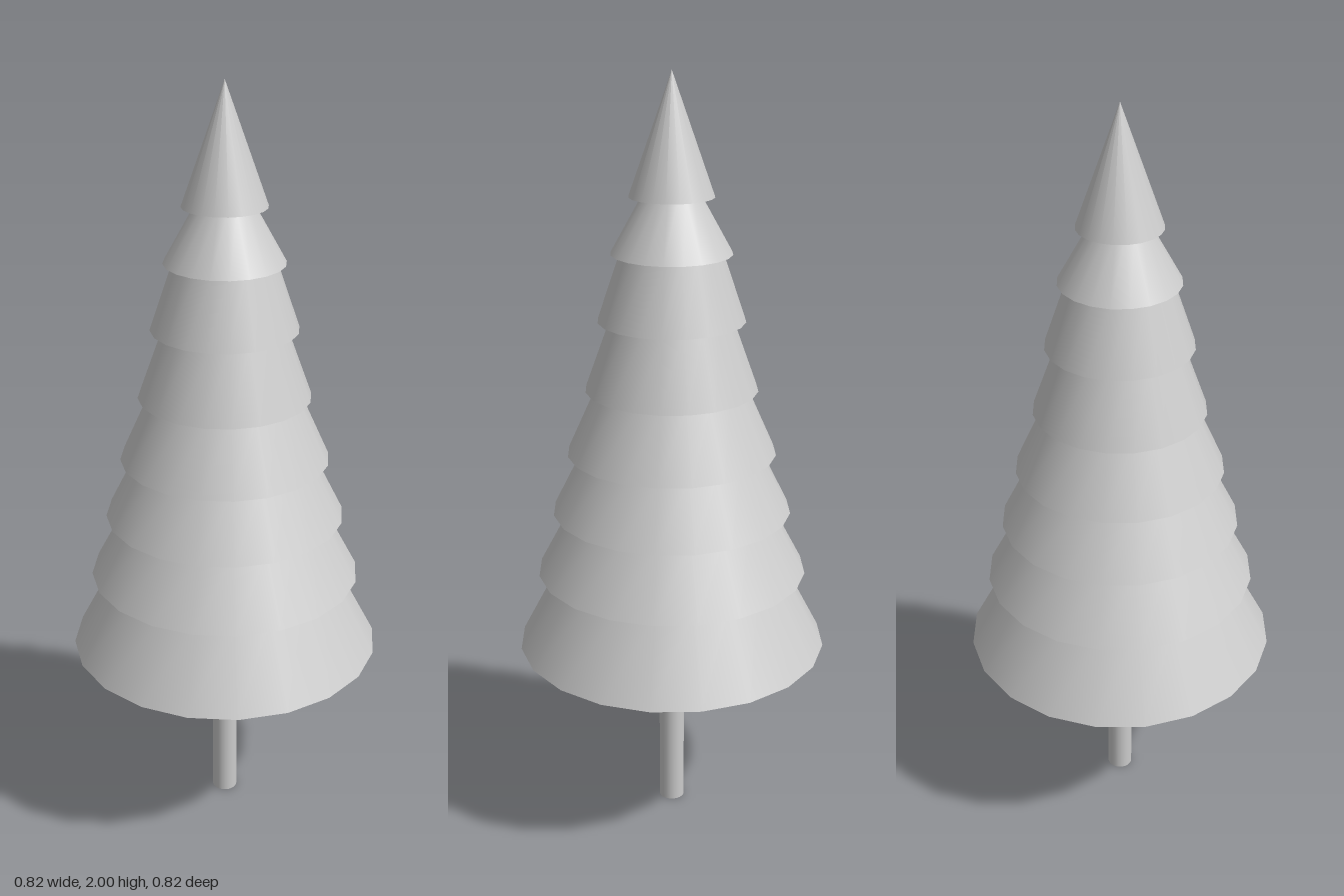
import * as THREE from 'three';

const SIDES = 20;

// Each tier of branches: [lip height, lip radius, radius at its top]
const TIERS = [
  [0.50, 0.41, 0.30],
  [0.71, 0.355, 0.265],
  [0.88, 0.312, 0.232],
  [1.04, 0.271, 0.195],
  [1.21, 0.222, 0.157],
  [1.39, 0.188, 0.13],
  [1.56, 0.153, 0.075],
  [1.70, 0.107, 0],
];
const TOP = 2;

export function createModel() {
  const tree = new THREE.Group();
  tree.name = 'tree';
  const material = new THREE.MeshStandardMaterial({ color: 0xcccccc });

  const add = (name, geometry, y, parent = tree) => {
    const mesh = new THREE.Mesh(geometry, material);
    mesh.name = name;
    mesh.position.y = y;
    parent.add(mesh);
    return mesh;
  };

  // Trunk, reaching up to the underside of the branches
  add('trunk', new THREE.CylinderGeometry(0.034, 0.034, 0.48, SIDES), 0.24);

  // Stacked branch tiers: a sloped skirt with a flat overhang below it
  TIERS.forEach(([y, lip, top], i) => {
    const tier = new THREE.Group();
    tier.name = `branchTier${i + 1}`;
    tree.add(tier);

    const height = (i + 1 < TIERS.length ? TIERS[i + 1][0] : TOP) - y;
    add('skirt', new THREE.CylinderGeometry(top, lip, height, SIDES, 1, true), y + height / 2, tier);

    if (i > 0) {
      const overhang = new THREE.RingGeometry(TIERS[i - 1][2], lip, SIDES, 1);
      overhang.rotateX(Math.PI / 2);
      add('overhang', overhang, y, tier);
    }
  });

  // Shallow tapered underside, closed by a flat disc
  add('underside', new THREE.CylinderGeometry(0.41, 0.29, 0.025, SIDES, 1, true), 0.4875);
  const disc = new THREE.CircleGeometry(0.29, SIDES);
  disc.rotateX(Math.PI / 2);
  add('undersideDisc', disc, 0.475);

  return tree;
}
